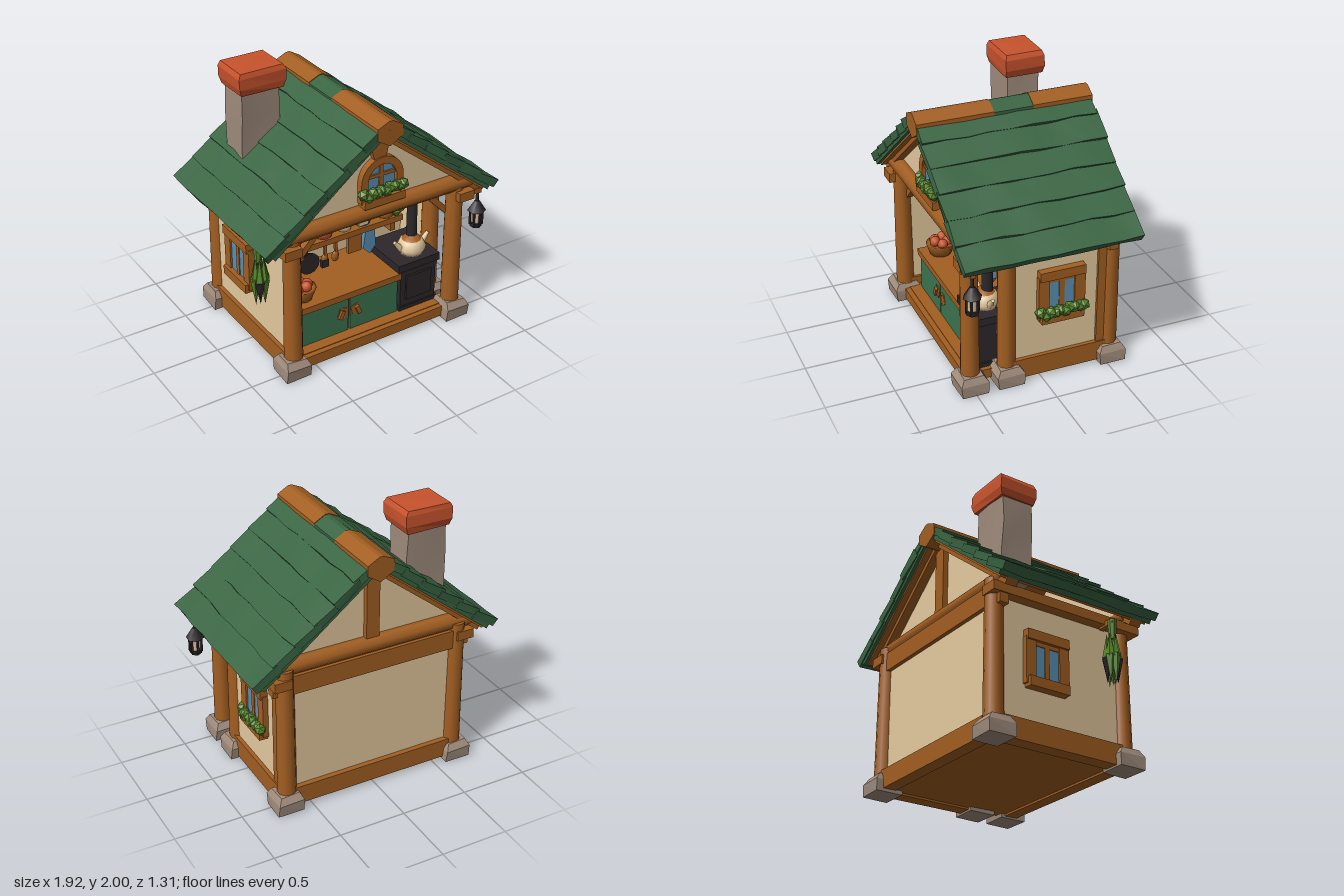
import * as THREE from 'three';

const mat = (name, color, flat = false) => Object.assign(new THREE.MeshStandardMaterial({ color }), { name, flatShading: flat });

export function createModel() {
  const root = new THREE.Group();
  root.name = 'cottageKitchen';
  const wood = mat('wood', 0xa35f22), green = mat('roofGreen', 0x3a6543), cream = mat('plaster', 0xe6cba0),
    stone = mat('stone', 0xa08c7c), clay = mat('terracotta', 0xc8532d), iron = mat('iron', 0x2d272b),
    blue = mat('blue', 0x5a92b4), leaf = mat('leaf', 0x56852a, true), paint = mat('doorGreen', 0x3c7550);

  // Small position-based wobble, so shared corners stay together
  const noise = (x, y, z, k) => {
    const s = Math.sin(x * 127.1 + y * 311.7 + z * 74.7 + k * 53.3) * 43758.5453;
    return (s - Math.floor(s)) * 2 - 1;
  };
  const wobble = (g, a, seed = 0) => {
    const p = g.attributes.position;
    for (let i = 0; i < p.count; i++) {
      const v = [p.getX(i), p.getY(i), p.getZ(i)].map(n => Math.round(n * 1000) / 1000 + 0);
      p.setXYZ(i, ...v.map((n, k) => n + a * noise(...v, k + seed)));
    }
    g.computeVertexNormals();
    return g;
  };
  const add = (name, g, m, x = 0, y = 0, z = 0, rx = 0, ry = 0, rz = 0, parent = root) => {
    const o = new THREE.Mesh(g, m);
    o.name = name;
    o.position.set(x, y, z);
    o.rotation.set(rx, ry, rz);
    parent.add(o);
    return o;
  };
  const box = (name, m, w, h, d, x, y, z, rz = 0, parent = root) =>
    add(name, new THREE.BoxGeometry(w, h, d), m, x, y, z, 0, 0, rz, parent);
  const cyl = (name, m, rt, rb, h, x, y, z, n = 10, parent = root) =>
    add(name, new THREE.CylinderGeometry(rt, rb, h, n), m, x, y, z, 0, 0, 0, parent);
  const turned = (pts, n = 12) => new THREE.LatheGeometry(pts.map(p => new THREE.Vector2(...p)), n);
  const lathe = (name, m, pts, x, y, z) => add(name, turned(pts), m, x, y, z);
  const prism = (name, m, pts, depth, z) =>
    add(name, new THREE.ExtrudeGeometry(new THREE.Shape(pts.map(p => new THREE.Vector2(...p))), { depth, bevelEnabled: false }), m, 0, 0, z);
  const foliage = (w, x, y, z, parent, n = 9) => {
    for (let i = 0; i < n; i++) {
      add('foliage', new THREE.IcosahedronGeometry(0.044, 0), leaf,
        x + (i / (n - 1) - 0.5) * w, y + 0.018 * noise(i, 1, 0, 0), z + 0.012 * noise(i, 2, 0, 0), i, i * 2, 0, parent);
    }
  };

  // Floor and sill beams
  box('floor', wood, 1.3, 0.07, 1.04, 0, 0.07, -0.02);
  box('frontSill', wood, 1.3, 0.08, 0.1, 0, 0.06, 0.49);
  box('backSill', wood, 1.3, 0.14, 0.1, 0, 0.1, -0.54);

  // Posts on stone feet; the left wall stops short of the front post, the right wall reaches it
  const footProfile = [[0, -0.0675], [0.138, -0.0675], [0.143, 0.02], [0.105, 0.0675], [0, 0.0675]];
  for (const s of [1, -1]) {
    for (const z of s > 0 ? [0.51, 0.24, -0.54] : [0.51, -0.54]) {
      cyl('post', wood, 0.062, 0.07, 1.1, s * 0.67, 0.57, z);
      add('stoneFoot', wobble(turned(footProfile, 4).rotateY(Math.PI / 4).toNonIndexed(), 0.007), stone, s * 0.68, 0.0725, z);
    }
    const front = s > 0 ? 0.23 : 0.48, depth = front + 0.53, mid = (front - 0.53) / 2;
    box('sideWall', cream, 0.06, 0.95, depth, s * 0.665, 0.6, mid);
    box('sideSill', wood, 0.11, 0.15, depth, s * 0.67, 0.095, mid);
    box('wallPlate', wood, 0.13, 0.07, 1.22, s * 0.71, 1.03, 0);
    box('bracket', wood, 0.07, 0.07, 0.07, s * 0.73, 0.96, -0.52);
    box('frontBrace', wood, 0.23, 0.045, 0.05, s * 0.54, 0.97, 0.47, -s * 0.8);
  }
  box('cornerBoard', wood, 0.1, 0.9, 0.06, 0.665, 0.55, -0.46);

  // Back wall and the wall behind the kitchen
  box('backWall', cream, 1.28, 1.0, 0.04, 0, 0.62, -0.53);
  box('kitchenWall', cream, 1.28, 1.0, 0.04, 0, 0.6, -0.1);
  box('kitchenTopRail', wood, 1.28, 0.14, 0.04, 0, 0.99, -0.07);
  box('backHeader', wood, 1.28, 0.14, 0.08, 0, 1.0, -0.54);

  // Gables with tie beams and rafters
  const slope = 0.787, tilt = Math.atan(slope);
  const slopeBox = (name, m, s, x0, x1, drop, thick, depth, z, flatter = 0, seed = 0) => {
    const len = (x1 - x0) / Math.cos(tilt), xm = (x0 + x1) / 2;
    let g = new THREE.BoxGeometry(len, thick, depth, 1, 1, seed ? 8 : 1);
    if (seed) g = wobble(g, 0.008, seed);
    return add(name, g, m, s * xm, 1.85 - slope * xm - drop, z, 0, 0, -s * (tilt - flatter));
  };
  for (const f of [1, -1]) {
    prism('gableWall', cream, [[-0.8, 1.1], [0.8, 1.1], [0, 1.72]], 0.04, f * 0.48 - 0.02);
    add('tieBeam', new THREE.CylinderGeometry(0.064, 0.064, 1.56, 8).rotateY(Math.PI / 8), wood, 0, 1.115, f * 0.515, 0, 0, Math.PI / 2);
    for (const s of [1, -1]) slopeBox('gableRafter', wood, s, 0.02, 0.85, 0.145, 0.05, 0.09, f * 0.52);
  }
  box('backKingPost', wood, 0.1, 0.52, 0.06, 0, 1.42, -0.51);
  prism('frontKingBlock', wood, [[-0.08, 1.66], [-0.035, 1.5], [0.055, 1.5], [0.09, 1.66]], 0.05, 0.49);

  // Roof: boards beneath, overlapping shingle rows above
  for (const s of [1, -1]) {
    slopeBox('roofSoffit', wood, s, 0, 0.85, 0.12, 0.025, 1.22, 0);
    slopeBox('roofDeck', green, s, 0, 0.88, 0.085, 0.05, 1.27, 0);
    for (let i = 0; i < 6; i++) {
      slopeBox('shingleRow', green, s, 0.01 + i * 0.149, 0.185 + i * 0.149, 0.045, 0.06, 1.29, 0, 0.07, 1 + i + (s > 0 ? 9 : 0));
    }
  }
  const ridge = [[-0.09, 1.71], [0.01, 1.65], [0.11, 1.71], [0.11, 1.785], [0.025, 1.834], [-0.005, 1.834], [-0.09, 1.795]];
  prism('ridgeBeamFront', wood, ridge, 0.56, 0.09);
  prism('ridgeBeamBack', wood, ridge, 0.45, -0.65);
  prism('ridgeShingles', green, ridge.map(([x, y]) => [x, y - 0.005]), 0.29, -0.2);

  // Chimney with a clay cap
  add('chimneyStack', wobble(new THREE.BoxGeometry(0.3, 0.65, 0.24, 2, 3, 2), 0.008), stone, -0.475, 1.54, -0.315);
  const capProfile = [[0, -0.085], [0.235, -0.085], [0.257, -0.03], [0.255, 0.05], [0.235, 0.085], [0, 0.085]];
  add('chimneyCap', wobble(turned(capProfile, 4).rotateY(Math.PI / 4).toNonIndexed(), 0.005), clay, -0.47, 1.915, -0.315).scale.z = 0.83;

  // Side windows; only the left one has a planter
  for (const s of [1, -1]) {
    const w = new THREE.Group();
    w.name = 'sideWindow';
    w.position.set(s * 0.695, s > 0 ? 0 : -0.04, -0.15);
    w.rotation.y = s * Math.PI / 2;
    root.add(w);
    box('windowPane', blue, 0.24, 0.26, 0.008, 0, 0.64, 0.022, 0, w);
    box('lintel', wood, 0.34, 0.07, 0.07, 0, 0.81, 0.02, 0, w);
    box('sill', wood, 0.32, 0.07, 0.09, 0, 0.475, 0.02, 0, w);
    for (const k of [-1, 1]) box('jamb', wood, 0.08, 0.33, 0.05, k * 0.135, 0.63, 0.015, 0, w);
    box('mullion', wood, 0.04, 0.28, 0.035, 0, 0.63, 0.015, 0, w);
    box('header', wood, 0.2, 0.04, 0.035, 0, 0.765, 0.015, 0, w);
    if (s > 0) foliage(0.32, 0, 0.515, 0.05, w, 10);
  }

  // Arched gable window
  const arch = (r, y0) => {
    const a = new THREE.Shape();
    a.moveTo(-r, y0).lineTo(r, y0).lineTo(r, 1.35).absarc(0, 1.35, r, 0, Math.PI, false);
    return a;
  };
  const frame = arch(0.17, 1.2);
  frame.holes.push(arch(0.115, 1.25));
  add('gableWindowFrame', new THREE.ExtrudeGeometry(frame, { depth: 0.06, bevelEnabled: false, curveSegments: 8 }), wood, 0.025, 0, 0.49);
  add('gableWindowPane', new THREE.ExtrudeGeometry(arch(0.12, 1.25), { depth: 0.008, bevelEnabled: false, curveSegments: 8 }), blue, 0.025, 0, 0.515);
  box('gableMullion', wood, 0.03, 0.22, 0.03, 0.025, 1.35, 0.52);
  box('gableTransom', wood, 0.23, 0.025, 0.03, 0.025, 1.38, 0.52);
  box('gablePlanter', wood, 0.33, 0.06, 0.08, 0.03, 1.2, 0.54);
  foliage(0.31, 0.025, 1.265, 0.56, root, 10);

  // Counter with painted doors, worn to the wood around the handles
  box('counterBody', wood, 0.84, 0.3, 0.47, -0.15, 0.23, 0.165);
  box('counterTop', wood, 0.88, 0.05, 0.52, -0.15, 0.405, 0.17);
  for (const s of [1, -1]) {
    box('cupboardDoor', paint, 0.41, 0.27, 0.03, -0.15 + s * 0.212, 0.235, 0.4);
    box('wornPatch', wood, 0.07, 0.08, 0.006, -0.15 + s * 0.055, 0.265, 0.416, s * 0.3);
    box('doorHandle', wood, 0.03, 0.07, 0.025, -0.15 + s * 0.07, 0.26, 0.425, s * 0.4);
  }

  // Fruit bowl
  lathe('bowl', wood, [[0, 0], [0.08, 0], [0.11, 0.085], [0.09, 0.085], [0, 0.06]], -0.47, 0.43, 0.29);
  for (let i = 0; i < 5; i++)
    add('fruit', new THREE.IcosahedronGeometry(0.04, 1), clay, -0.47 + 0.05 * Math.cos(i * 1.26), 0.525 + (i % 2) * 0.015, 0.29 + 0.05 * Math.sin(i * 1.26));

  // Stove, flue and teapot
  box('stoveBody', iron, 0.31, 0.36, 0.36, 0.445, 0.27, 0.24);
  box('stoveTop', iron, 0.36, 0.06, 0.42, 0.44, 0.475, 0.23);
  box('stoveDoor', iron, 0.22, 0.2, 0.02, 0.445, 0.29, 0.425);
  box('stoveBase', iron, 0.34, 0.05, 0.38, 0.445, 0.11, 0.24);
  cyl('flue', iron, 0.038, 0.042, 0.62, 0.465, 0.79, 0.295);
  lathe('teapot', cream, [[0, 0], [0.085, 0], [0.11, 0.05], [0.085, 0.105], [0.06, 0.12], [0, 0.12]], 0.455, 0.505, 0.31);
  lathe('teapotLid', wood, [[0.075, 0], [0.05, 0.025], [0.015, 0.03], [0.02, 0.05], [0, 0.055]], 0.455, 0.615, 0.31);
  for (const s of [1, -1])
    add('teapotSpout', new THREE.CylinderGeometry(0.014, 0.026, 0.1, 8), cream, 0.455 + s * 0.115, 0.585, 0.31, 0, 0, -s * 0.7);

  // Shelf and hanging rail
  box('shelf', wood, 0.88, 0.045, 0.28, -0.1, 0.857, 0.22);
  box('hangingRail', wood, 0.84, 0.065, 0.1, -0.1, 0.78, 0.14);
  box('shelfBack', wood, 0.86, 0.05, 0.03, -0.1, 0.82, 0.08);
  for (const s of [1, -1]) box('shelfBracket', wood, 0.04, 0.13, 0.24, -0.1 + s * 0.38, 0.81, 0.2);

  // Jars on the shelf
  const jar = (name, m, r, h, x) => lathe(name, m, [[0, 0], [r * 0.85, 0], [r, h * 0.3], [r * 0.95, h * 0.75], [r * 0.8, h * 0.85], [r, h], [0, h]], x, 0.88, 0.29);
  jar('redJar', clay, 0.074, 0.135, -0.29);
  jar('creamJar', cream, 0.062, 0.12, -0.12);
  cyl('jarLid', wood, 0.05, 0.06, 0.03, -0.12, 1.0, 0.29);
  jar('blueCrock', blue, 0.07, 0.13, 0.03);
  box('crockLabel', cream, 0.08, 0.06, 0.008, 0.0, 0.93, 0.36);
  jar('plantPot', wood, 0.075, 0.09, 0.225);
  foliage(0.13, 0.235, 0.995, 0.32, root, 6);
  foliage(0.06, 0.28, 0.94, 0.35, root, 3);
  foliage(0.03, -0.485, 0.92, 0.28, root, 2);

  // Hanging tools and cloth
  cyl('fryingPan', iron, 0.085, 0.07, 0.04, -0.32, 0.58, 0.14, 12).rotation.x = Math.PI / 2;
  box('panHandle', iron, 0.03, 0.17, 0.025, -0.345, 0.71, 0.14, 0.1);
  for (const x of [-0.18, -0.09]) {
    box('spoonHandle', wood, 0.022, 0.2, 0.02, x, 0.68, 0.14, 0.06);
    add('spoonBowl', new THREE.SphereGeometry(0.038, 8, 6), wood, x - 0.002, 0.56, 0.14).scale.set(0.85, 1.2, 0.5);
  }
  box('spatulaTip', iron, 0.055, 0.06, 0.03, -0.185, 0.535, 0.145);
  prism('choppingBoard', wood, [[0.01, 0.55], [0.12, 0.55], [0.12, 0.68], [0.08, 0.75], [0.05, 0.75], [0.01, 0.68]], 0.03, 0.13);
  prism('cloth', blue, [[0.16, 0.78], [0.22, 0.78], [0.24, 0.56], [0.19, 0.5], [0.13, 0.56]], 0.04, 0.13);

  // Lantern
  const lantern = new THREE.Group();
  lantern.name = 'lantern';
  lantern.position.set(0.845, 0, 0.555);
  root.add(lantern);
  box('lanternArm', wood, 0.12, 0.04, 0.04, -0.04, 1.02, 0, 0, lantern);
  cyl('lanternChain', iron, 0.012, 0.012, 0.1, 0, 0.96, 0, 6, lantern);
  cyl('lanternRoof', iron, 0.018, 0.068, 0.08, 0, 0.89, 0, 6, lantern);
  cyl('lanternGlass', cream, 0.045, 0.035, 0.12, 0, 0.8, 0, 6, lantern);
  cyl('lanternBase', iron, 0.052, 0.042, 0.035, 0, 0.737, 0, 6, lantern);
  for (let i = 0; i < 6; i++)
    box('lanternBar', iron, 0.014, 0.13, 0.014, 0.043 * Math.sin(i * Math.PI / 3), 0.8, 0.043 * Math.cos(i * Math.PI / 3), 0, lantern);

  // Drying herb bunch: tied stems, a full middle and pointed hanging tips
  box('herbPeg', wood, 0.14, 0.04, 0.04, -0.78, 1.0, 0.33);
  cyl('herbStems', leaf, 0.035, 0.024, 0.14, -0.825, 0.94, 0.33, 7);
  for (let i = 0; i < 7; i++) {
    const a = i * Math.PI / 3, r = i < 6 ? 0.036 : 0, c = r * Math.cos(a), d = r * Math.sin(a);
    add('herbTop', new THREE.ConeGeometry(0.036, 0.18, 5), leaf, -0.815 + c * 0.9, 0.82, 0.33 + d * 0.9);
    add('herbSprig', new THREE.ConeGeometry(0.038, 0.22 - (i % 3) * 0.02, 5), i % 3 === 2 ? iron : leaf, -0.815 + c, 0.64, 0.33 + d, Math.PI, 0, 0);
  }
  return root;
}
